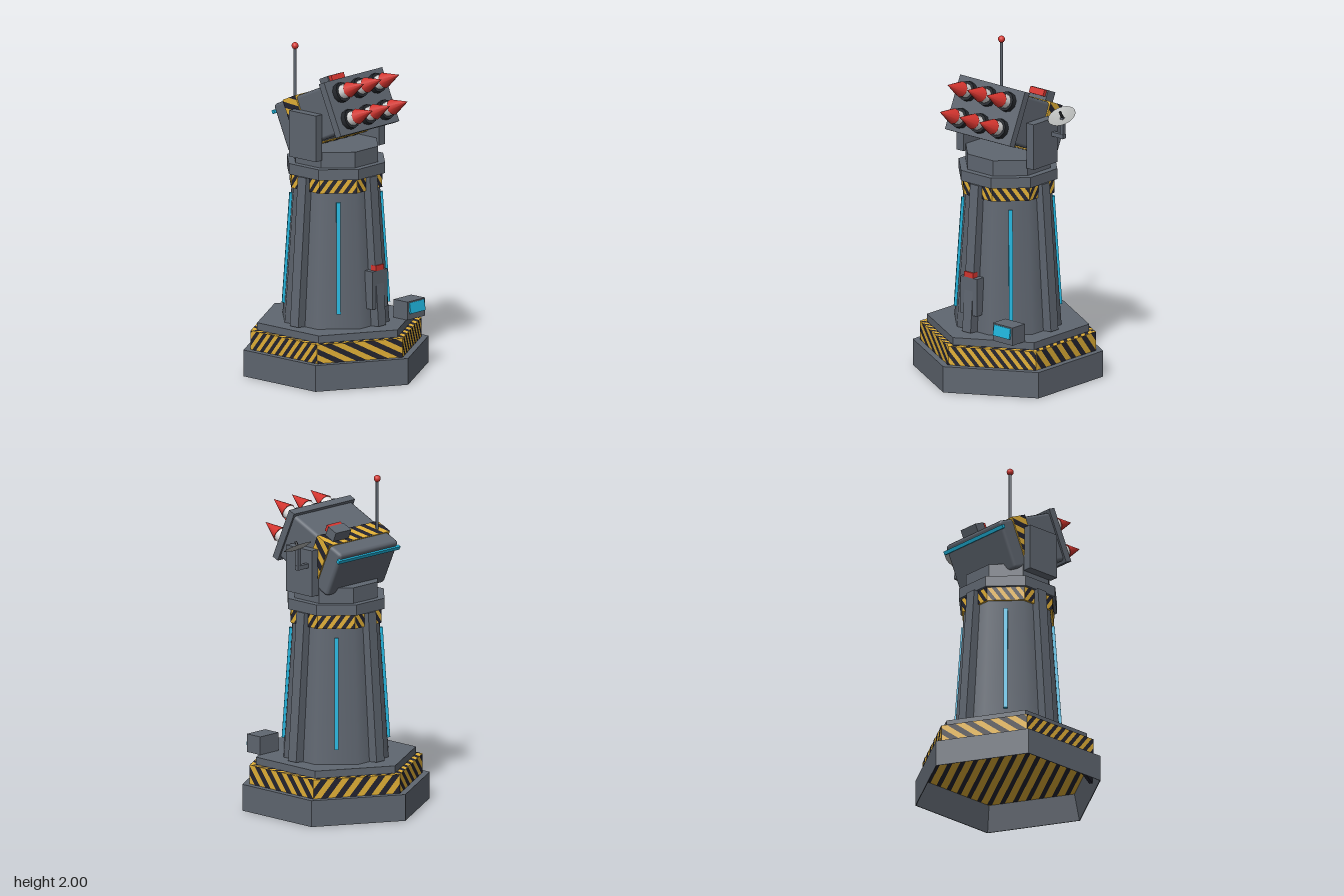
import * as THREE from 'three';
import { toCreasedNormals } from 'three/addons/utils/BufferGeometryUtils.js';
import { RoundedBoxGeometry } from 'three/addons/geometries/RoundedBoxGeometry.js';

const paint = (name, color, side = THREE.FrontSide) => {
  const m = new THREE.MeshStandardMaterial({ color, side });
  m.name = name;
  return m;
};

export function createModel() {
  const grey = paint('steel grey', 0x5f6670);
  const yellow = paint('hazard yellow', 0xe2b036);
  const navy = paint('hazard navy', 0x23232f);
  const cyan = paint('glow cyan', 0x1fb4dc);
  const red = paint('signal red', 0xd5352f);
  const white = paint('missile white', 0xdedede);
  const black = paint('tube black', 0x25282d);
  const pale = paint('dish grey', 0xb2b4b3, THREE.DoubleSide);

  const model = new THREE.Group();
  model.name = 'missileTower';

  const add = (parent, name, geo, mat, x = 0, y = 0, z = 0) => {
    const m = new THREE.Mesh(geo, mat);
    m.name = name;
    m.position.set(x, y, z);
    parent.add(m);
    return m;
  };
  const box = (parent, name, mat, w, h, d, x, y, z) =>
    add(parent, name, new THREE.BoxGeometry(w, h, d), mat, x, y, z);
  const pivot = (parent, name, angle) => {
    const g = new THREE.Group();
    g.name = name;
    g.rotation.y = angle;
    parent.add(g);
    return g;
  };
  // Sharp-edged prism standing between two heights
  const prism = (name, mat, r, y0, y1, sides, turn = 0) => {
    const g = new THREE.CylinderGeometry(r, r, y1 - y0, sides);
    g.rotateY(turn);
    return add(model, name, toCreasedNormals(g, 0.4), mat, 0, (y0 + y1) / 2, 0);
  };

  // Slanted dark stripes clipped to a w x h rectangle facing +z
  const clip = (pts, limit, sign) => {
    const out = [];
    pts.forEach((p, i) => {
      const q = pts[(i + 1) % pts.length];
      const dp = (limit - p.x) * sign, dq = (limit - q.x) * sign;
      if (dp >= 0) out.push(p);
      if (dp * dq < 0) out.push(p.clone().lerp(q, dp / (dp - dq)));
    });
    return out;
  };
  const stripes = (parent, w, h, count, slant, x, y, z) => {
    const shapes = [], step = w / count, extra = Math.ceil(Math.abs(slant) / step) + 1;
    for (let i = -extra; i < count + extra; i++) {
      const a = -w / 2 + i * step, b = a + step * 0.5, s = slant / 2;
      let pts = [[a - s, -h / 2], [b - s, -h / 2], [b + s, h / 2], [a + s, h / 2]]
        .map(p => new THREE.Vector2(...p));
      pts = clip(clip(pts, w / 2, 1), -w / 2, -1);
      if (pts.length > 2) shapes.push(new THREE.Shape(pts));
    }
    return add(parent, 'hazardStripes', new THREE.ShapeGeometry(shapes), navy, x, y, z);
  };

  // Hollow hexagonal foot
  const footProfile = [[0.575, 0], [0.575, 0.16], [0.53, 0.16], [0.57, 0], [0.575, 0]]
    .map(p => new THREE.Vector2(...p));
  add(model, 'foot', toCreasedNormals(new THREE.LatheGeometry(footProfile, 6), 0.4), grey);
  const vent = pivot(model, 'footVent', -Math.PI / 3);
  box(vent, 'vent', navy, 0.19, 0.09, 0.02, 0, 0.08, 0.485);

  // Hazard hexagon and deck
  prism('hazardPlinth', yellow, 0.53, 0.16, 0.275, 6);
  prism('deck', grey, 0.49, 0.275, 0.32, 6);
  const faceStripes = [[9, -0.09], [6, -0.09], [6, 0.09], [5, -0.15], [9, 0.09], [4, -0.22]];
  faceStripes.forEach(([count, slant], i) => {
    const side = pivot(model, 'plinthSide', Math.PI / 6 + i * Math.PI / 3);
    stripes(side, 0.53, 0.115, count, slant, 0, 0.2175, 0.461);
    const top = stripes(side, 0.495, 0.034, i % 3 ? 8 : 6, 0.03, 0, 0.2765, 0.4415);
    top.rotation.x = -Math.PI / 2;
  });
  // Stripes on the plinth underside
  const under = pivot(model, 'plinthUnderside', -Math.PI / 6);
  const bars = [];
  for (let i = -6; i <= 6; i++) {
    const a = i * 0.07 - 0.014, b = a + 0.028;
    const la = 0.525 - Math.abs(a) / Math.sqrt(3), lb = 0.525 - Math.abs(b) / Math.sqrt(3);
    bars.push(new THREE.Shape([[-la, a], [la, a], [lb, b], [-lb, b]].map(p => new THREE.Vector2(...p))));
  }
  add(under, 'undersideStripes', new THREE.ShapeGeometry(bars), navy, 0, 0.158, 0).rotation.x = Math.PI / 2;

  // Tapered octagonal tower, hazard band, collar and turning ring
  const eighth = Math.PI / 8, R = a => a / Math.cos(eighth);
  const shaft = new THREE.CylinderGeometry(R(0.25), R(0.31), 0.9, 8);
  shaft.rotateY(eighth);
  add(model, 'tower', shaft, grey, 0, 0.77, 0);
  prism('towerBand', yellow, R(0.268), 1.135, 1.22, 8, eighth);
  prism('collar', grey, R(0.285), 1.22, 1.285, 8, eighth);
  prism('turningRing', grey, R(0.245), 1.285, 1.38, 8, eighth);
  for (let i = 0; i < 8; i++) {
    const face = pivot(model, 'towerFace', i * Math.PI / 4);
    stripes(face, 0.222, 0.085, 4, i % 4 < 2 ? -0.06 : 0.06, 0, 1.1775, 0.27);
    if (i % 2) {
      box(face, 'lightStrip', cyan, 0.024, 0.67, 0.025, 0, 0.745, 0.286).rotation.x = -0.0666;
    } else {
      box(face, 'rib', grey, 0.066, 0.9, 0.1, 0, 0.77, 0.285).rotation.x = -0.0776;
    }
  }

  // Front junction box with lamp
  box(model, 'junctionBox', grey, 0.13, 0.23, 0.06, 0, 0.545, 0.32);
  box(model, 'junctionLamp', red, 0.07, 0.035, 0.04, 0, 0.675, 0.33);

  // Control console on the deck
  box(model, 'console', grey, 0.155, 0.11, 0.11, 0.293, 0.375, 0.32);
  box(model, 'consoleScreen', cyan, 0.13, 0.065, 0.012, 0.293, 0.39, 0.38).rotation.x = -0.18;

  // Side brackets holding the launcher
  for (const s of [-1, 1]) box(model, 'bracket', grey, 0.055, 0.28, 0.215, s * 0.277, 1.475, 0.008);

  // Tilted launcher
  const launcher = new THREE.Group();
  launcher.name = 'launcher';
  launcher.position.set(0, 1.567, -0.008);
  launcher.rotation.x = -0.42;
  model.add(launcher);
  add(launcher, 'housing', new RoundedBoxGeometry(0.49, 0.3, 0.45, 1, 0.02), grey, 0, 0, -0.01);
  box(launcher, 'frontPlate', grey, 0.514, 0.335, 0.045, 0, 0, 0.21);
  box(launcher, 'housingBand', yellow, 0.508, 0.312, 0.11, 0, 0, -0.082);
  box(launcher, 'rearLight', cyan, 0.515, 0.022, 0.02, 0, 0.108, -0.237);
  for (const s of [-1, 1]) {
    stripes(launcher, 0.508, 0.11, 6, -0.06, 0, s * 0.158, -0.082).rotation.x = -s * Math.PI / 2;
    const side = pivot(launcher, 'bandSide', s * Math.PI / 2);
    // Run the side stripes up the band's height
    stripes(side, 0.312, 0.11, 4, 0.06, s * 0.082, 0, 0.256).rotation.z = Math.PI / 2;
  }

  // Sensor block on the roof
  box(launcher, 'sensorBlock', grey, 0.13, 0.065, 0.07, 0.135, 0.185, -0.075);
  box(launcher, 'sensorLamp', red, 0.112, 0.04, 0.025, 0.135, 0.195, -0.03);

  // Six missiles in their tubes
  for (const y of [-0.083, 0.083]) for (const x of [-0.155, 0, 0.155]) {
    const missile = new THREE.Group();
    missile.name = 'missile';
    missile.position.set(x, y, 0);
    missile.rotation.x = Math.PI / 2;
    launcher.add(missile);
    add(missile, 'tube', toCreasedNormals(new THREE.CylinderGeometry(0.06, 0.06, 0.06, 10), 0.8), black, 0, 0.235, 0);
    add(missile, 'missileBody', new THREE.CylinderGeometry(0.043, 0.043, 0.1, 12), white, 0, 0.265, 0);
    add(missile, 'missileNose', new THREE.ConeGeometry(0.048, 0.132, 10), red, 0, 0.379, 0);
  }

  // Whip antenna
  add(model, 'antennaMast', new THREE.CylinderGeometry(0.009, 0.009, 0.34, 8), grey, -0.19, 1.81, -0.155);
  add(model, 'antennaTip', new THREE.SphereGeometry(0.021, 12, 8), red, -0.19, 1.979, -0.155);

  // Dish on an arm
  box(model, 'dishArm', grey, 0.1, 0.026, 0.026, 0.343, 1.52, -0.06);
  box(model, 'dishPost', grey, 0.022, 0.13, 0.022, 0.38, 1.57, -0.06);
  const dish = new THREE.Group();
  dish.name = 'dish';
  dish.position.set(0.378, 1.63, -0.062);
  dish.rotation.x = 0.49;
  model.add(dish);
  const bowl = [[0, 0], [0.045, 0.005], [0.086, 0.018]].map(p => new THREE.Vector2(...p));
  add(dish, 'dishBowl', new THREE.LatheGeometry(bowl, 20), pale);
  add(dish, 'dishFeed', new THREE.CylinderGeometry(0.008, 0.008, 0.05, 8), black, 0, 0.027, 0);

  return model;
}
